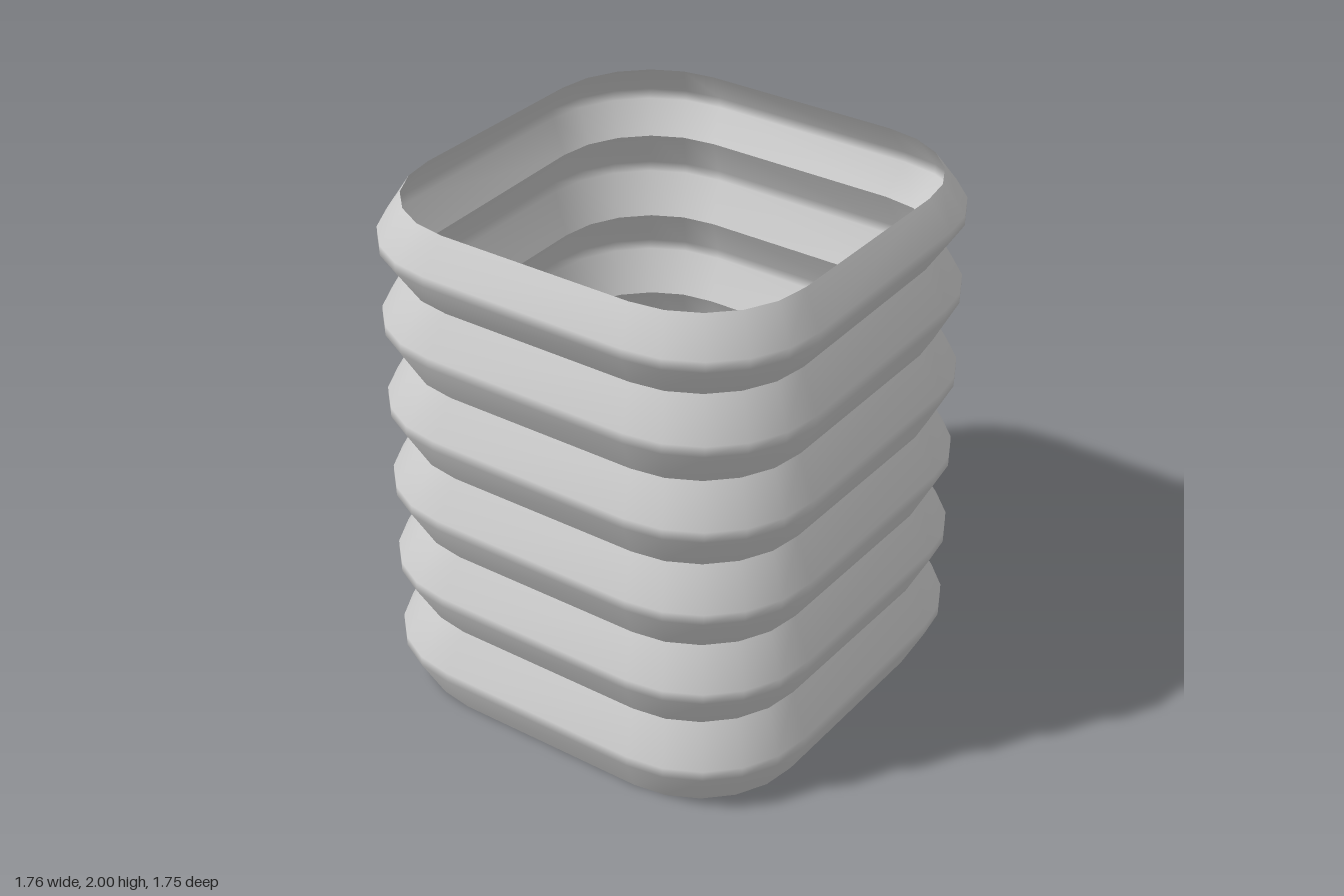
import * as THREE from 'three';

const CORNER_STEPS = 5;

// Rounded-square ring; t = 0 at a valley, 1 at a ridge. Height goes from yL (-x) to yR (+x).
function ring(t, yL, yR) {
  const points = [];
  const cx = 0.39 + 0.03 * t, cz = 0.39 + 0.027 * t, radius = 0.41 + 0.048 * t;
  const signs = [[1, 1], [-1, 1], [-1, -1], [1, -1]];
  signs.forEach(([sx, sz], q) => {
    for (let i = 0; i <= CORNER_STEPS; i++) {
      const a = (q + i / CORNER_STEPS) * Math.PI / 2;
      const x = sx * cx + radius * Math.cos(a);
      const z = sz * cz + radius * Math.sin(a);
      const k = THREE.MathUtils.clamp((x / 0.42 + 1) / 2, 0, 1);
      points.push(x, yL + (yR - yL) * k, z);
    }
  });
  return points;
}

// One fold: valley, narrow rounded ridge, valley; smooth inside the fold
function foldGeometry([aL, aR], [bL, bR]) {
  const mL = (aL + bL) / 2, mR = (aR + bR) / 2, half = 0.02;
  const rings = [
    ring(0, aL, aR),
    ring(1, mL - half, mR - half),
    ring(1, mL + half, mR + half),
    ring(0, bL, bR),
  ];
  const n = rings[0].length / 3;
  const index = [];
  for (let r = 0; r < rings.length - 1; r++) {
    for (let i = 0; i < n; i++) {
      const j = (i + 1) % n;
      const a = r * n + i, b = r * n + j, c = a + n, d = b + n;
      index.push(a, c, b, b, c, d);
    }
  }
  const geometry = new THREE.BufferGeometry();
  geometry.setAttribute('position', new THREE.Float32BufferAttribute(rings.flat(), 3));
  geometry.setIndex(index);
  geometry.computeVertexNormals();
  return geometry;
}

export function createModel() {
  const group = new THREE.Group();
  group.name = 'bellows';
  const grey = new THREE.MeshStandardMaterial({ color: 0xcccccc, side: THREE.DoubleSide });
  grey.name = 'lightGrey';

  // Valley heights on the -x and +x sides; the creases tilt slightly
  const valleys = [
    [0, 0], [0.35, 0.34], [0.688, 0.684], [1.028, 1.028],
    [1.364, 1.376], [1.7, 1.722], [2, 2],
  ];
  for (let i = 0; i < valleys.length - 1; i++) {
    const fold = new THREE.Mesh(foldGeometry(valleys[i], valleys[i + 1]), grey);
    fold.name = `fold${i + 1}`;
    group.add(fold);
  }
  return group;
}
